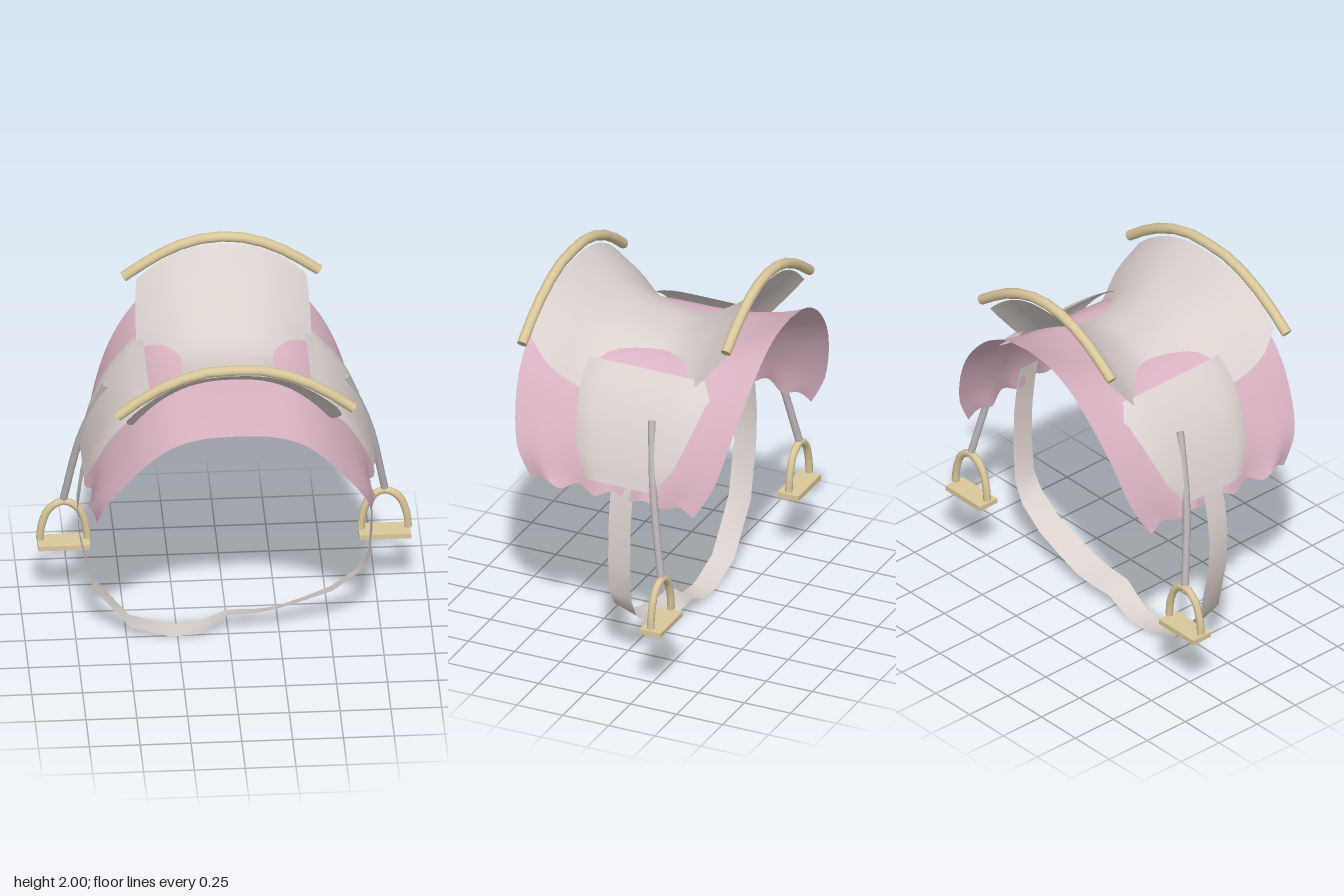
import * as THREE from 'three';

const mat = (name, color, side = THREE.FrontSide) => {
  const m = new THREE.MeshStandardMaterial({ color, side });
  m.name = name;
  return m;
};
const V = (x, y, z = 0) => new THREE.Vector3(x, y, z);
const spline = (pts) => new THREE.CatmullRomCurve3(pts.map((p) => V(...p)));

export function createModel() {
  const pink = mat('pink felt', 0xdcb5c5, THREE.DoubleSide);
  const leather = mat('pale leather', 0xdad1cd, THREE.DoubleSide);
  const grey = mat('grey strap', 0xbab5b6);
  const brass = mat('pale brass', 0xdac79b);
  const root = new THREE.Group();
  root.name = 'saddle';

  const add = (name, geometry, material, parent = root) => {
    const mesh = new THREE.Mesh(geometry, material);
    mesh.name = name;
    parent.add(mesh);
    return mesh;
  };

  // Curved sheet: rule maps u, v in -1..1 to a point
  const sheet = (nu, nv, rule) => {
    const g = new THREE.PlaneGeometry(2, 2, nu, nv);
    const p = g.attributes.position;
    for (let i = 0; i < p.count; i++) {
      const q = rule(p.getX(i), p.getY(i));
      p.setXYZ(i, q.x, q.y, q.z);
    }
    g.computeVertexNormals();
    return g;
  };

  // Round rod along a curve, closed by a disc at each end
  const rod = (name, curve, radius, segments, material, parent = root) => {
    const group = new THREE.Group();
    group.name = name;
    parent.add(group);
    add(name + 'Tube', new THREE.TubeGeometry(curve, segments, radius, 10), material, group);
    for (const t of [0, 1]) {
      const cap = add(name + 'End', new THREE.CircleGeometry(radius, 10), material, group);
      const dir = curve.getTangent(t).multiplyScalar(t ? 1 : -1);
      cap.position.copy(curve.getPoint(t));
      cap.quaternion.setFromUnitVectors(V(0, 0, 1), dir);
    }
  };

  // Blanket: half profiles at the front, middle and back, blended along z
  const front = spline([[0, 1.54], [0.17, 1.53], [0.32, 1.48], [0.44, 1.38], [0.55, 1.24], [0.65, 1.08], [0.69, 0.95]]);
  const middle = spline([[0, 1.555], [0.17, 1.553], [0.32, 1.53], [0.45, 1.44], [0.56, 1.3], [0.65, 1.13], [0.7, 0.96]]);
  const back = spline([[0, 1.75], [0.16, 1.73], [0.3, 1.66], [0.44, 1.52], [0.55, 1.34], [0.63, 1.1], [0.66, 0.93]]);
  add('blanket', sheet(48, 40, (u, v) => {
    const a = Math.abs(u);
    const p = middle.getPoint(a).lerp((v > 0 ? front : back).getPoint(a), v * v);
    const hem = a ** 8;
    p.y += 0.018 * hem * Math.cos(v * 15);
    p.x += 0.015 * hem * Math.sin(v * 11);
    return V(Math.sign(u) * p.x, p.y, v * (0.64 - 0.205 * a ** 3.5));
  }), pink);

  // Seat: rows of [z, centre height, edge height, half width]
  const rows = [
    [0.53, 1.82, 1.62, 0.5], [0.41, 1.73, 1.5, 0.53], [0.25, 1.635, 1.39, 0.48],
    [0.08, 1.6, 1.38, 0.45], [-0.1, 1.605, 1.38, 0.42], [-0.28, 1.7, 1.46, 0.43],
    [-0.41, 1.81, 1.6, 0.43], [-0.52, 1.93, 1.74, 0.42],
  ];
  const spine = spline(rows.map(([z, c]) => [0, c, z]));
  const edge = spline(rows.map(([z, , e, w]) => [w, e, z]));
  add('seat', sheet(28, 32, (u, v) => {
    const t = (1 - v) / 2;
    const c = spine.getPoint(t);
    const e = edge.getPoint(t);
    return V(u * e.x, c.y + (e.y - c.y) * Math.abs(u) ** 2.4, c.z);
  }), leather);

  // Brass rails on the front and back of the seat
  const rail = (name, half, z, radius) => {
    const left = half.slice(1).reverse().map(([x, y]) => [-x, y, z]);
    rod(name, spline([...left, ...half.map(([x, y]) => [x, y, z])]), radius, 10, brass);
  };
  rail('frontRail', [[0, 1.86], [0.14, 1.853], [0.27, 1.815], [0.42, 1.74], [0.58, 1.62]], 0.54, 0.026);
  rail('backRail', [[0, 1.975], [0.12, 1.962], [0.25, 1.915], [0.36, 1.85], [0.48, 1.763]], -0.52, 0.026);

  // Flaps, stirrup straps and stirrups on both sides
  const flapProfile = spline([[0.4, 1.53], [0.5, 1.455], [0.6, 1.33], [0.68, 1.16], [0.72, 1.03]]);
  const flapFront = spline([[0.27, 1], [0.265, 1], [0.24, 1], [0.2, 1], [0.13, 1]]);
  const flapBack = spline([[-0.41, 1], [-0.41, 1], [-0.38, 1], [-0.32, 1], [-0.23, 1]]);
  for (const s of [1, -1]) {
    const side = new THREE.Group();
    side.name = s > 0 ? 'leftSide' : 'rightSide';
    root.add(side);

    add('flap', sheet(16, 16, (u, v) => {
      const t = (1 - v) / 2;
      const p = flapProfile.getPoint(t);
      const z = THREE.MathUtils.lerp(flapBack.getPoint(t).x, flapFront.getPoint(t).x, (1 + u) / 2);
      const tuck = 0.025 * u ** 6 * (1 - t * 0.5);
      return V(s * (p.x - tuck), p.y - tuck * 0.6, z);
    }), leather, side);

    rod('stirrupStrap', spline([[s * 0.59, 1.36, -0.17], [s * 0.71, 1.03, -0.235], [s * 0.79, 0.62, -0.315]]),
      0.019, 8, grey, side);

    const stirrup = new THREE.Group();
    stirrup.name = 'stirrup';
    stirrup.position.set(s * 0.79, 0, -0.315);
    side.add(stirrup);
    rod('stirrupArch', spline([[-0.117, 0.39], [-0.107, 0.475], [-0.07, 0.565], [0, 0.605],
      [0.07, 0.565], [0.107, 0.475], [0.117, 0.39]]), 0.019, 18, brass, stirrup);
    add('footPlate', new THREE.BoxGeometry(0.255, 0.026, 0.115), brass, stirrup).position.y = 0.366;
  }

  // Girth: a flat band hanging below, [x, front y, back y]
  const band = [
    [-0.68, 1.08, 1.08], [-0.72, 0.92, 0.92], [-0.74, 0.76, 0.76], [-0.73, 0.58, 0.58],
    [-0.67, 0.3, 0.3], [-0.48, 0.06, 0.06], [-0.28, 0, 0], [-0.14, 0.01, 0.005],
    [0, 0.112, 0.072], [0.13, 0.12, 0.068], [0.24, 0.14, 0.08], [0.38, 0.185, 0.13],
    [0.51, 0.232, 0.185], [0.64, 0.33, 0.285], [0.695, 0.42, 0.39], [0.71, 0.6, 0.6],
    [0.705, 0.8, 0.8], [0.685, 0.96, 0.96], [0.66, 1.08, 1.08],
  ];
  const last = band.length - 1;
  add('girth', sheet(last, 1, (u, v) => {
    const [x, yFront, yBack] = band[Math.round((u + 1) / 2 * last)];
    return V(x, v > 0 ? yBack : yFront, v > 0 ? -0.11 : 0.01);
  }), leather);

  return root;
}
